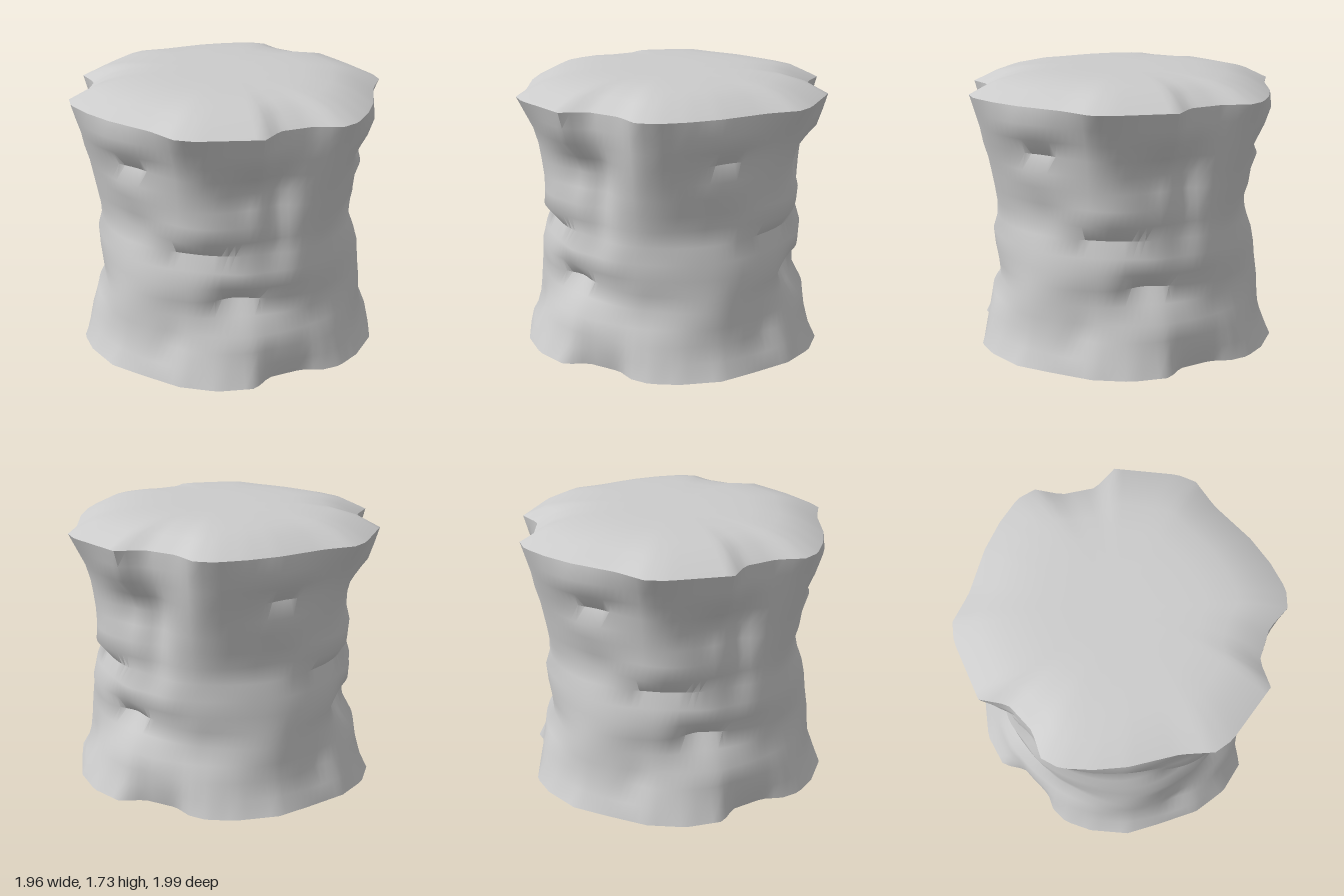
import * as THREE from 'three';
import { toCreasedNormals } from 'three/addons/utils/BufferGeometryUtils.js';

// The rock repeats three times around its axis; angles run in degrees from the front (+z) towards +x
const COLS = 120, SECTOR = 120, DEG = Math.PI / 180;

// Rim and foot outlines of one sector: angle, radius
const RIM = [[0, 1], [7, 1], [30, 0.98], [38, 0.86], [52, 0.88], [60, 0.99], [67, 1], [78, 0.96],
  [90, 0.93], [109, 0.92]];
const FOOT = [[0, 0.97], [14, 0.98], [28, 0.96], [35, 0.85], [50, 0.85], [57, 0.93], [64, 0.97], [75, 0.975],
  [90, 0.975], [103, 0.945]];

// Radius at every 0.1 of height, at 0, 30, 60 and 90 degrees
const PROFILES = [
  [0.97, 0.93, 0.88, 0.84, 0.81, 0.80, 0.82, 0.79, 0.76, 0.83, 0.82, 0.83, 0.85, 0.87, 0.90, 0.95, 1.00],
  [0.96, 0.91, 0.88, 0.86, 0.78, 0.75, 0.81, 0.81, 0.77, 0.80, 0.81, 0.80, 0.80, 0.84, 0.92, 0.95, 0.98],
  [0.97, 0.93, 0.90, 0.86, 0.81, 0.82, 0.83, 0.83, 0.81, 0.82, 0.84, 0.86, 0.88, 0.91, 0.93, 0.96, 0.99],
  [0.98, 0.92, 0.89, 0.88, 0.87, 0.85, 0.84, 0.83, 0.81, 0.78, 0.81, 0.82, 0.84, 0.86, 0.91, 0.94, 0.93],
];

// Lumps and hollows: angle, height, half angle, half height up, half height down, depth
const LUMPS = [
  [10, 0.95, 14, 0.2, 0.08, 0.03], [-12, 0.52, 18, 0.18, 0.14, 0.02], [-24, 1.32, 12, 0.06, 0.06, -0.06],
  [-30, 1.2, 10, 0.05, 0.08, 0.02], [20, 0.5, 9, 0.09, 0.09, -0.05], [-24, 0.86, 9, 0.07, 0.08, -0.02],
  [25, 0.66, 8, 0.06, 0.06, 0.02], [-8, 0.2, 7, 0.05, 0.05, -0.05], [27, 1.2, 8, 0.18, 0.12, -0.03],
  [41, 1.15, 6, 0.3, 0.25, -0.05], [48, 0.75, 8, 0.12, 0.12, 0.02],
];

// Distance from the axis to a sector outline (straight edges)
function reach(outline, a) {
  let i = outline.length - 1;
  while (outline[i][0] > a) i--;
  const [a1, r1] = outline[i];
  const [a2, r2] = outline[i + 1] ?? [SECTOR, outline[0][1]];
  const s = angle => Math.sin(angle * DEG);
  return r1 * r2 * s(a2 - a1) / (r1 * s(a - a1) + r2 * s(a2 - a));
}

// Blends the two neighbouring profiles
function profile(a, j) {
  const k = Math.floor(a / 30);
  const w = THREE.MathUtils.smoothstep(a / 30 - k, 0, 1);
  return THREE.MathUtils.lerp(PROFILES[k][j], PROFILES[(k + 1) % 4][j], w);
}

function lumps(a, y) {
  let sum = 0;
  for (const [la, ly, wa, up, down, depth] of LUMPS) {
    const d = a - la - SECTOR * Math.round((a - la) / SECTOR);
    const u = d / wa, v = (y - ly) / (y > ly ? up : down);
    sum += depth * Math.exp(-(u * u + v * v));
  }
  return sum;
}

// One closed ring of points; radius receives the angle within the sector
function ring(y, radius) {
  return Array.from({ length: COLS }, (_, i) => {
    const a = i * 360 / COLS, r = radius(a % SECTOR);
    return [Math.sin(a * DEG) * r, y, Math.cos(a * DEG) * r];
  });
}

// Joins rings, listed from low to high
function skin(rings) {
  const index = [];
  for (let j = 0; j + 1 < rings.length; j++) {
    for (let i = 0; i < COLS; i++) {
      const k = (i + 1) % COLS;
      const a = j * COLS + i, b = j * COLS + k, c = a + COLS, d = b + COLS;
      index.push(a, b, d, a, d, c);
    }
  }
  const g = new THREE.BufferGeometry();
  g.setAttribute('position', new THREE.Float32BufferAttribute(rings.flat(2), 3));
  g.setIndex(index);
  return toCreasedNormals(g, 0.9);
}

export function createModel() {
  const group = new THREE.Group();
  group.name = 'rockPillar';
  const material = new THREE.MeshStandardMaterial({ color: 0xcccccc, side: THREE.DoubleSide });

  // Rugged wall, open at the foot, following the rim above and the foot below
  const wall = PROFILES[0].map((_, j) => {
    const y = j / 10, t = y / 1.6;
    const top = t ** 5, low = (1 - t) ** 12;
    const rough = Math.min(1, 1.6 * Math.sin(Math.PI * t));
    return ring(y, a => profile(a, j) + top * (reach(RIM, a) - profile(a, 16))
      + low * (reach(FOOT, a) - profile(a, 0)) + rough * lumps(a, y));
  });
  const wallMesh = new THREE.Mesh(skin(wall), material);
  wallMesh.name = 'rockWall';

  // Shallow domed cap whose outline calms towards the middle
  const cap = [[1, 1.6], [0.85, 1.675], [0.7, 1.71], [0.52, 1.727], [0.3, 1.73], [0, 1.73]].map(([s, y]) =>
    ring(y, a => s * (0.95 + (reach(RIM, a) - 0.95) * s)));
  const capMesh = new THREE.Mesh(skin(cap), material);
  capMesh.name = 'domedTop';

  group.add(wallMesh, capMesh);
  return group;
}
